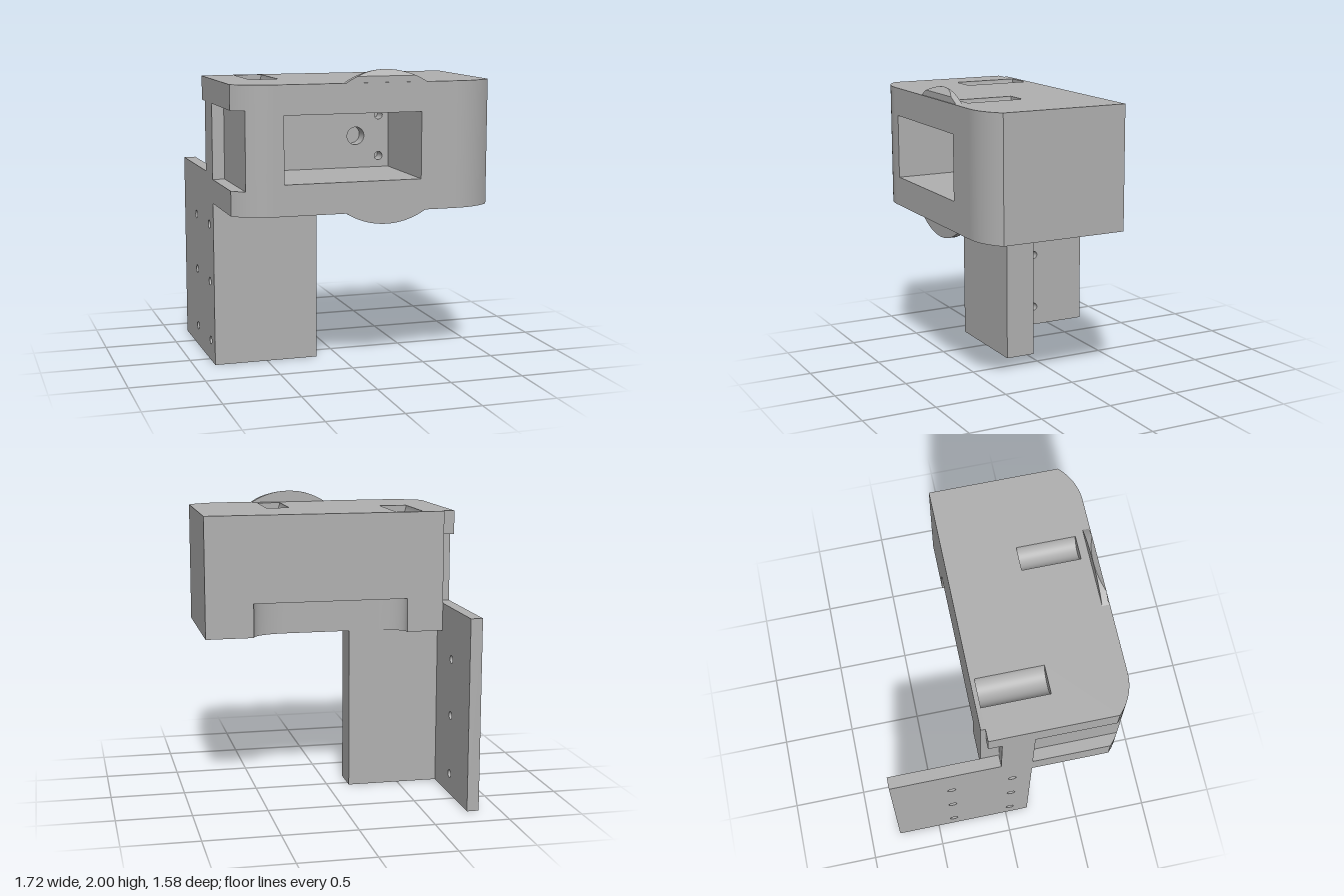
import * as THREE from 'three';
import { mergeGeometries } from 'three/addons/utils/BufferGeometryUtils.js';

const HALF = Math.PI / 2;
const L = -0.86, R = 0.855, IN = -0.78;          // housing sides, channel depth
const BACK = -0.17, BASE = 1.1, TOP = 1.92;      // housing back, bottom, top
const STEM_B = -0.05, STEM_F = 0.16, STEM_R = -0.15;

const rect = (a0, b0, a1, b1) => [[a0, b0], [a1, b0], [a1, b1], [a0, b1]];
const circle = (a, b, r, n = 24) => Array.from({ length: n }, (_, i) =>
  [a + r * Math.cos(i / n * 2 * Math.PI), b + r * Math.sin(i / n * 2 * Math.PI)]);

// Flat panel facing an axis. Points are [x,y] for z panels, [z,y] for x panels, [x,z] for y panels.
const facing = {
  '+z': [(a, b) => [a, b], g => g],
  '-z': [(a, b) => [-a, b], g => g.rotateY(Math.PI)],
  '+x': [(a, b) => [-a, b], g => g.rotateY(HALF)],
  '-x': [(a, b) => [a, b], g => g.rotateY(-HALF)],
  '+y': [(a, b) => [a, -b], g => g.rotateX(-HALF)],
  '-y': [(a, b) => [a, b], g => g.rotateX(HALF)],
};
function panel(dir, offset, points, holes = []) {
  const [map, turn] = facing[dir];
  const vecs = pts => pts.map(([a, b]) => new THREE.Vector2(...map(a, b)));
  const shape = new THREE.Shape(vecs(points));
  holes.forEach(h => shape.holes.push(new THREE.Path(vecs(h))));
  const g = turn(new THREE.ShapeGeometry(shape));
  const move = { x: 0, y: 0, z: 0, [dir[1]]: offset };
  return g.translate(move.x, move.y, move.z);
}

// Upright curved wall along a path of [x,z] points
function wall(path, y0, y1) {
  const n = path.length;
  const g = new THREE.PlaneGeometry(1, 1, n - 1, 1);
  path.forEach(([x, z], i) => {
    g.attributes.position.setXYZ(i, x, y1, z);
    g.attributes.position.setXYZ(n + i, x, y0, z);
  });
  g.computeVertexNormals();
  return g;
}

function inward(g) {
  g.index.array.reverse();
  g.computeVertexNormals();
  return g;
}
// Round bore along z or x, seen from inside
function bore(axis, r, from, to, a, b) {
  const g = inward(new THREE.CylinderGeometry(r, r, to - from, 24, 1, true));
  const mid = (from + to) / 2;
  return axis === 'z' ? g.rotateX(HALF).translate(a, b, mid) : g.rotateZ(HALF).translate(mid, b, a);
}

// Rounded front corners
const frontZ = x => 0.43 + Math.sqrt(0.1296 - Math.max(Math.abs(x) - 0.6, 0) ** 2);
const frontArc = (x0, x1, n = 16) => Array.from({ length: n + 1 }, (_, i) => {
  const x = x0 + (x1 - x0) * i / n;
  return [x, frontZ(x)];
});

// Part of a disc between two heights, as an extruded slab
const WX = 0.127, WY = 1.51, WR = 0.49;
function discSlab(y0, y1, z0, z1) {
  const a0 = Math.asin(Math.max(-1, (y0 - WY) / WR)), a1 = Math.asin(Math.min(1, (y1 - WY) / WR));
  const pts = [];
  for (const side of [1, -1]) for (let i = 0; i <= 20; i++) {
    const a = side > 0 ? a0 + (a1 - a0) * i / 20 : a1 + (a0 - a1) * i / 20;
    pts.push(new THREE.Vector2(WX + side * WR * Math.cos(a), WY + WR * Math.sin(a)));
  }
  return new THREE.ExtrudeGeometry(new THREE.Shape(pts), { depth: z1 - z0, bevelEnabled: false }).translate(0, 0, z0);
}

export function createModel() {
  const model = new THREE.Group();
  const grey = new THREE.MeshStandardMaterial({ color: 0xb0b0b0, side: THREE.DoubleSide });
  grey.name = 'grey plastic';
  const part = (name, geos) => {
    geos.forEach(g => g.deleteAttribute('uv'));
    const mesh = new THREE.Mesh(mergeGeometries(geos), grey);
    mesh.name = name;
    model.add(mesh);
  };

  const pocket = rect(-0.545, 1.3, 0.36, 1.73);
  const cradles = [[-0.64, -0.45, -0.14, 0.3], [0.2, 0.36, 0.3, 0.685]];
  const leftZ = frontZ(L), rightZ = frontZ(R);

  // Curved recess in the bottom of the back
  const recess = [];
  for (let i = 0; i <= 12; i++) {
    const t = i / 12 * HALF;
    recess.push([0.3 + 0.23 * Math.cos(t), BACK + 0.12 * Math.sin(t)]);
  }
  recess.push(...recess.map(([x, z]) => [-x, z]).reverse());

  // Housing shell
  const front = frontArc(L, -0.6).concat(frontArc(0.6, R));
  part('housing', [
    panel('+z', 0.79, rect(-0.6, BASE, 0.6, TOP), [pocket]),
    wall(frontArc(0.6, R), BASE, TOP),
    wall(frontArc(IN, -0.6), BASE, TOP),
    wall(frontArc(L, IN, 6), BASE, 1.26),
    wall(frontArc(L, IN, 6), 1.76, TOP),
    panel('+x', R, rect(BACK, BASE, rightZ, TOP)),
    panel('-z', BACK, [[R, BASE], [0.53, BASE], [0.53, 1.33], [-0.53, 1.33], [-0.53, BASE], [IN, BASE], [IN, TOP], [R, TOP]]),
    panel('+y', TOP, [...front, [R, BACK], [IN, BACK], [IN, -0.14], [L, -0.14]],
      cradles.map(([x0, x1, z0, z1]) => rect(x0, z0, x1, z1))),
    panel('-y', BASE, [...front, [R, BACK], ...recess, [L, BACK]]),
  ]);
  part('backRecess', [wall(recess, BASE, 1.33), panel('-y', 1.33, recess)]);

  // Left side of housing, stem and plate in one plane, with screw holes
  const holeY = [0.14, 0.55, 0.94];
  part('leftSide', [
    panel('-x', L, [[-0.79, 0], [STEM_F, 0], [STEM_F, BASE], [leftZ, BASE], [leftZ, 1.26], [STEM_F, 1.26],
      [STEM_F, 1.76], [leftZ, 1.76], [leftZ, TOP], [-0.14, TOP], [-0.14, 1.76], [STEM_B, 1.76], [STEM_B, 1.29], [-0.79, 1.29]],
    [-0.385, 0.03].flatMap(z => holeY.map(y => circle(z, y, 0.028)))),
  ]);

  // Channel along the left side
  const ledge = [...frontArc(L, IN, 6), [IN, STEM_F], [L, STEM_F]];
  part('sideChannel', [
    panel('-x', IN, rect(STEM_F, 1.26, frontZ(IN), 1.76)),
    panel('-x', IN, [[BACK, 1.26], [STEM_B, 1.26], [STEM_B, 1.76], [-0.14, 1.76], [-0.14, TOP], [BACK, TOP]]),
    panel('+y', 1.26, ledge),
    panel('-y', 1.76, ledge),
    panel('-y', 1.76, rect(L, -0.14, IN, STEM_B)),
    panel('-z', -0.14, rect(L, 1.76, IN, TOP)),
    panel('-z', STEM_B, rect(L, 1.29, IN, 1.76)),
    panel('+z', STEM_F, rect(L, 1.26, IN, 1.76)),
  ]);

  // Stem and mounting plate
  part('stem', [
    panel('+z', STEM_F, rect(L, 0, STEM_R, BASE)),
    panel('+x', STEM_R, rect(STEM_B, 0, STEM_F, BASE)),
    panel('-z', STEM_B, rect(IN, 0, STEM_R, BASE)),
    panel('-y', 0, [[L, -0.79], [IN, -0.79], [IN, STEM_B], [STEM_R, STEM_B], [STEM_R, STEM_F], [L, STEM_F]]),
    ...holeY.flatMap(y => [bore('x', 0.028, L, -0.7, 0.03, y), panel('-x', -0.7, circle(0.03, y, 0.028))]),
  ]);
  part('mountingPlate', [
    panel('+x', IN, rect(-0.79, 0, STEM_B, 1.29), holeY.map(y => circle(-0.385, y, 0.028))),
    panel('-z', -0.79, rect(L, 0, IN, 1.29)),
    panel('+y', 1.29, rect(L, -0.79, IN, STEM_B)),
    ...holeY.map(y => bore('x', 0.028, L, IN, -0.385, y)),
  ]);

  // Front pocket with bores and a cable slot in its back wall
  const bores = [[0.127, 1.515, 0.06]];
  for (const x of [-0.478, 0.29]) for (const y of [1.375, 1.652]) bores.push([x, y, 0.028]);
  const slot = rect(-0.543, 1.42, -0.515, 1.605);
  part('frontPocket', [
    panel('+z', STEM_F, pocket, [slot, ...bores.map(b => circle(...b))]),
    panel('+z', 0.14, slot),
    panel('+x', -0.545, rect(STEM_F, 1.3, 0.79, 1.73)),
    panel('-x', 0.36, rect(STEM_F, 1.3, 0.79, 1.73)),
    panel('+y', 1.3, rect(-0.545, STEM_F, 0.36, 0.79)),
    panel('-y', 1.73, rect(-0.545, STEM_F, 0.36, 0.79)),
    ...bores.flatMap(([x, y, r]) => [bore('z', r, 0.06, STEM_F, x, y), panel('+z', 0.06, circle(x, y, r))]),
  ]);

  // Half-round cradles in the top
  for (const [x0, x1, z0, z1] of cradles) {
    const r = (x1 - x0) / 2, cx = (x0 + x1) / 2;
    const end = Array.from({ length: 17 }, (_, i) =>
      [cx - r * Math.cos(i / 16 * Math.PI), TOP - r * Math.sin(i / 16 * Math.PI)]);
    part('topCradle', [
      inward(new THREE.CylinderGeometry(r, r, z1 - z0, 20, 1, true, -HALF, Math.PI))
        .rotateX(HALF).translate(cx, TOP, (z0 + z1) / 2),
      panel('+z', z0, end),
      panel('-z', z1, end),
    ]);
  }

  // Thumb wheel showing above and below, its upper tip sloped at the front
  const tip = discSlab(1.96, 2, 0.74, 0.783);
  const p = tip.attributes.position;
  for (let i = 0; i < p.count; i++) {
    if (p.getZ(i) > 0.76) p.setZ(i, 0.783 - (p.getY(i) - 1.96) * 1.05);
  }
  tip.computeVertexNormals();
  part('wheel', [discSlab(1.9, 1.96, 0.74, 0.783), tip, discSlab(1.02, 1.12, 0.74, 0.783)]);
  return model;
}
